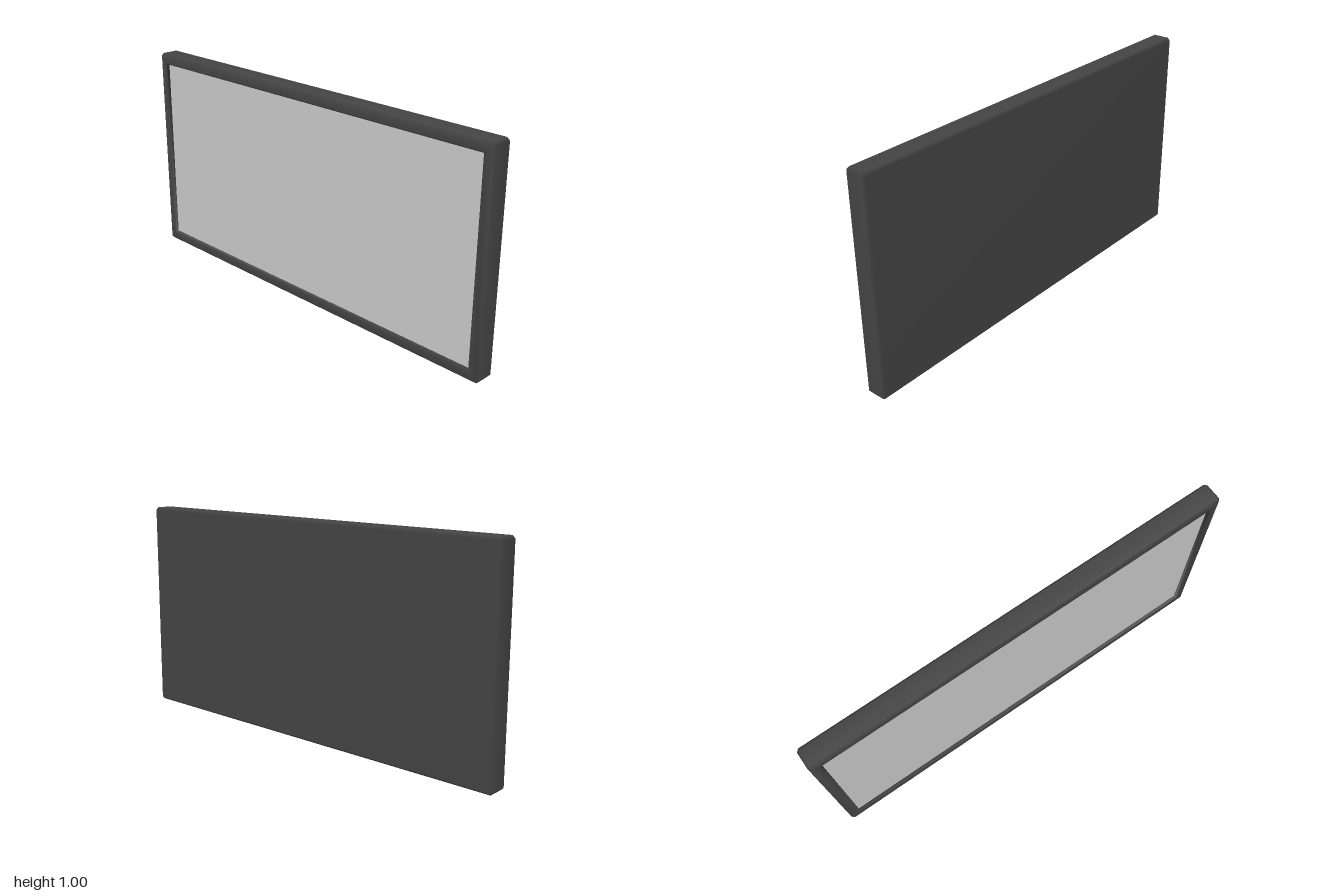
import * as THREE from 'three';
import { mergeVertices } from 'three/addons/utils/BufferGeometryUtils.js';

const W = 1, H = 0.5, D = 0.05; // half sizes of the panel
const BEVEL = 0.012;
const RIM = 0.05; // width of the frame around the screen
const SCREEN_Z = 0.035;

// Rectangular ring of 8 points, counterclockwise from the front; cut trims the corners
function ring(inset, z, cut = 0) {
  const w = W - inset, h = H - inset;
  return [
    [w, -h + cut], [w, h - cut], [w - cut, h], [-w + cut, h],
    [-w, h - cut], [-w, -h + cut], [-w + cut, -h], [w - cut, -h],
  ].map(([x, y]) => [x, y, z]);
}

// Bevelled casing: rings swept from the back, round the sides and into the recess
function casingGeometry() {
  const rings = [
    ring(BEVEL, -D),
    ring(0, -D + BEVEL, BEVEL),
    ring(0, D - BEVEL, BEVEL),
    ring(BEVEL, D),
    ring(RIM - 0.006, D),
    ring(RIM, D - 0.005),
    ring(RIM, SCREEN_Z),
  ];
  const index = [0, 5, 3, 0, 3, 1]; // back panel
  index.splice(0, 6, 0, 6, 4, 0, 4, 2);
  for (let r = 0; r < rings.length - 1; r++) {
    for (let i = 0; i < 8; i++) {
      const j = (i + 1) % 8;
      const a = r * 8 + i, b = r * 8 + j;
      index.push(a, b, b + 8, a, b + 8, a + 8);
    }
  }
  const geometry = new THREE.BufferGeometry();
  geometry.setAttribute('position', new THREE.Float32BufferAttribute(rings.flat(2), 3));
  geometry.setIndex(index);
  const merged = mergeVertices(geometry, 1e-4);
  merged.computeVertexNormals();
  return merged;
}

export function createModel() {
  const model = new THREE.Group();
  model.name = 'flatScreen';

  const casing = new THREE.Mesh(
    casingGeometry(),
    new THREE.MeshStandardMaterial({ color: 0x444444 })
  );
  casing.name = 'casing';

  // Flat screen set into the frame
  const screen = new THREE.Mesh(
    new THREE.PlaneGeometry(2 * (W - RIM), 2 * (H - RIM)),
    new THREE.MeshStandardMaterial({ color: 0xcccccc })
  );
  screen.name = 'screen';
  screen.position.z = SCREEN_Z;

  model.add(casing, screen);
  model.children.forEach((part) => (part.position.y = H));
  return model;
}
